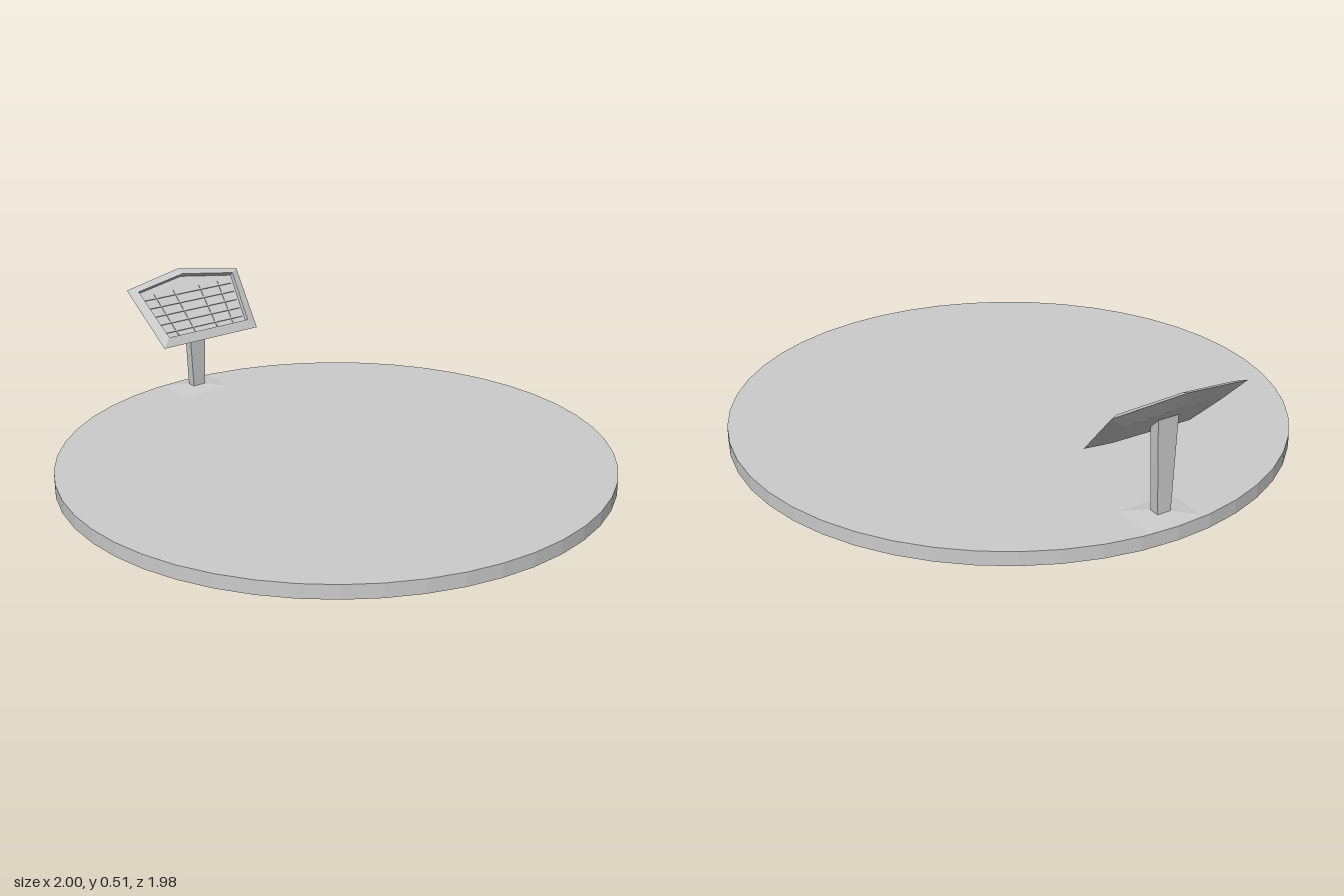
import * as THREE from 'three';

const material = new THREE.MeshStandardMaterial({ color: 0xcccccc, flatShading: true });

function add(parent, name, geometry, x = 0, y = 0, z = 0) {
  const mesh = new THREE.Mesh(geometry, material);
  mesh.name = name;
  mesh.position.set(x, y, z);
  parent.add(mesh);
  return mesh;
}

// Joins equal-length counter-clockwise rings from back to front and caps both ends.
function loft(rings) {
  const count = rings[0].length;
  const index = [];
  for (let r = 0; r < rings.length - 1; r++) {
    for (let i = 0; i < count; i++) {
      const j = (i + 1) % count;
      const a = r * count + i, b = r * count + j;
      index.push(a, b, b + count, a, b + count, a + count);
    }
  }
  const last = (rings.length - 1) * count;
  for (let i = 1; i < count - 1; i++) {
    index.push(0, i + 1, i, last, last + i, last + i + 1);
  }
  const geometry = new THREE.BufferGeometry();
  geometry.setAttribute('position', new THREE.Float32BufferAttribute(rings.flat(2), 3));
  geometry.setIndex(index);
  const flat = geometry.toNonIndexed();
  flat.computeVertexNormals();
  return flat;
}

// Five-sided outline with a shallow gable at its upper edge.
const gable = (bottom, low, shoulder, high, peak, depth) => [
  [-low, bottom, depth], [low, bottom, depth], [high, shoulder, depth],
  [0, peak, depth], [-high, shoulder, depth],
];

export function createModel() {
  const model = new THREE.Group();
  model.name = 'platformWithConsole';

  // Round platform
  add(model, 'platform', new THREE.CylinderGeometry(0.99, 0.99, 0.05, 48), 0.01, 0.025, 0);

  const stand = new THREE.Group();
  stand.name = 'consoleStand';
  stand.position.x = -0.887;
  model.add(stand);

  // Shallow pyramid foot
  const foot = new THREE.CylinderGeometry(0.025 * Math.SQRT2, 0.1 * Math.SQRT2, 0.012, 4);
  foot.rotateY(Math.PI / 4).scale(0.85, 1, 1.1);
  add(stand, 'foot', foot, 0, 0.055, 0);

  // Post widening sideways, its top cut to the slope of the panel
  const post = new THREE.BoxGeometry(0.037, 1, 1);
  const p = post.attributes.position;
  for (let i = 0; i < p.count; i++) {
    const top = p.getY(i) > 0;
    p.setY(i, top ? 0.38 - p.getX(i) : 0.05);
    p.setZ(i, Math.sign(p.getZ(i)) * (top ? 0.039 : 0.025));
  }
  post.computeVertexNormals();
  add(stand, 'post', post);

  // Tilted panel: local y runs up the slope, local z faces outward
  const panel = new THREE.Group();
  panel.name = 'consolePanel';
  panel.position.set(-0.77, 0.283, 0);
  panel.rotation.set(-Math.PI / 4, Math.PI / 2, 0, 'YXZ');
  model.add(panel);

  // Tapered back, bevelled rim and recessed face
  add(panel, 'frame', loft([
    gable(0.055, 0.15, 0.215, 0.18, 0.25, -0.02),
    gable(0, 0.215, 0.272, 0.255, 0.322, 0),
    gable(0.035, 0.182, 0.25, 0.218, 0.289, 0.014),
    gable(0.035, 0.182, 0.25, 0.218, 0.289, -0.006),
  ]));

  // Rows and columns of thin dividers on the face
  for (let row = 0; row < 5; row++) {
    const y = 0.065 + row * 0.038;
    const width = 2 * (0.172 + (y - 0.035) * 0.167);
    add(panel, 'rowDivider', new THREE.BoxGeometry(width, 0.006, 0.005), 0, y, -0.004);
  }
  for (const x of [-0.137, -0.055, 0.055, 0.137]) {
    const column = add(panel, 'columnDivider', new THREE.BoxGeometry(0.004, 0.19, 0.004), x, 0.141, -0.0045);
    column.rotation.z = -x * 0.8;
  }

  return model;
}
